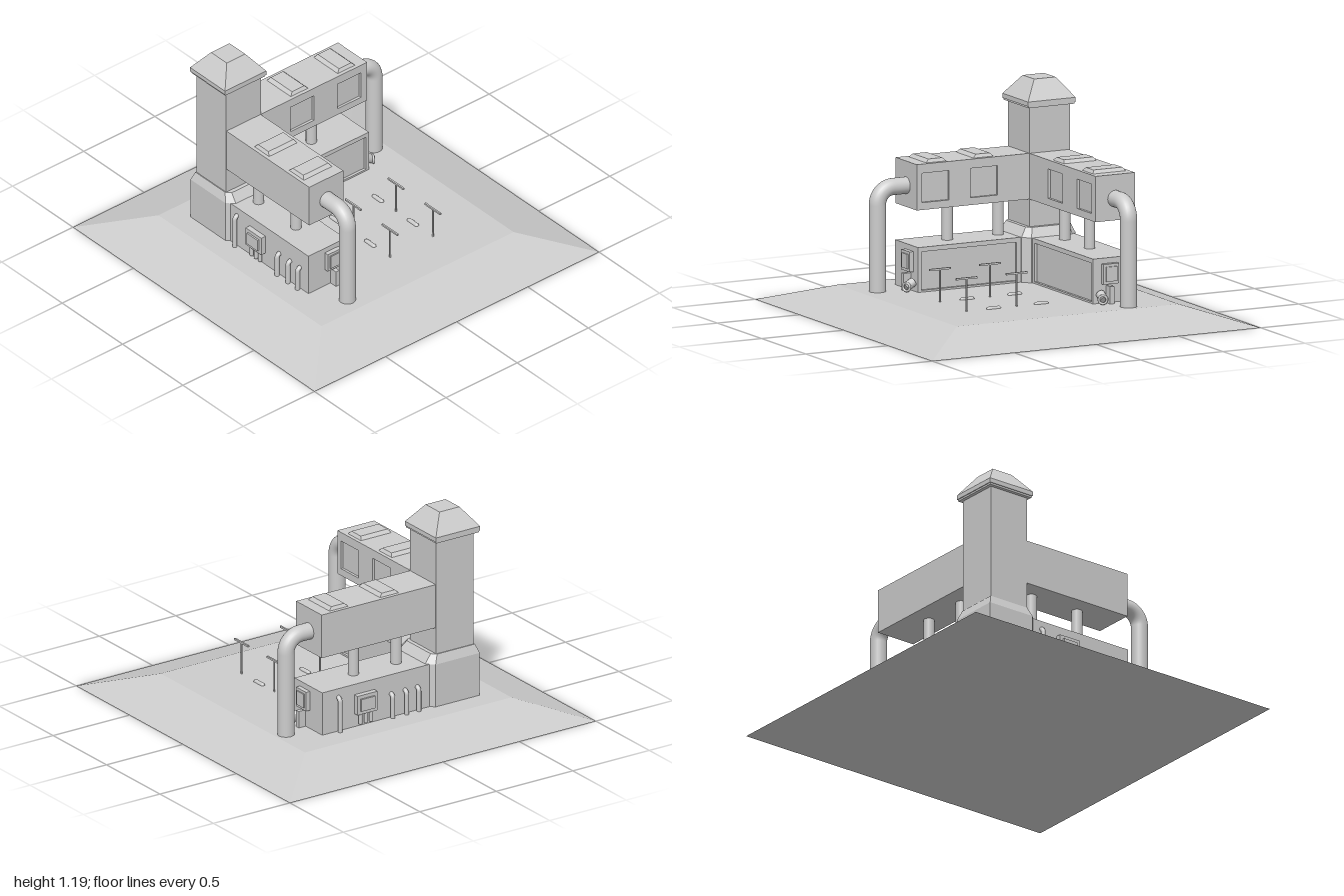
import * as THREE from 'three';

const grey = new THREE.MeshStandardMaterial({ color: 0xcccccc });
grey.name = 'grey';

function add(parent, name, geometry) {
  const mesh = new THREE.Mesh(geometry, grey);
  mesh.name = name;
  parent.add(mesh);
  return mesh;
}

// Box between two corners, its top optionally drawn in on all sides
function block(parent, name, x0, x1, y0, y1, z0, z1, insetX = 0, insetZ = insetX) {
  const g = new THREE.BoxGeometry(Math.abs(x1 - x0), y1 - y0, Math.abs(z1 - z0));
  const p = g.attributes.position;
  for (let i = 0; i < p.count; i++) {
    if (p.getY(i) > 0) {
      p.setX(i, p.getX(i) - Math.sign(p.getX(i)) * insetX);
      p.setZ(i, p.getZ(i) - Math.sign(p.getZ(i)) * insetZ);
    }
  }
  g.computeVertexNormals();
  g.translate((x0 + x1) / 2, (y0 + y1) / 2, (z0 + z1) / 2);
  return add(parent, name, g);
}

// Pipe through corner points with one rounded bend
function bentPipe(parent, name, start, corner, end, bend, radius, sides = 20) {
  const [a, c, e] = [start, corner, end].map((v) => new THREE.Vector3(...v));
  const b0 = c.clone().add(a.clone().sub(c).setLength(bend));
  const b1 = c.clone().add(e.clone().sub(c).setLength(bend));
  const k = 0.5523;
  const path = new THREE.CurvePath();
  path.add(new THREE.LineCurve3(a, b0));
  path.add(new THREE.CubicBezierCurve3(b0, b0.clone().lerp(c, k), b1.clone().lerp(c, k), b1));
  path.add(new THREE.LineCurve3(b1, e));
  return add(parent, name, new THREE.TubeGeometry(path, 48, radius, sides));
}

function rod(parent, name, x, y0, y1, z, radius, sides = 16) {
  const g = new THREE.CylinderGeometry(radius, radius, y1 - y0, sides);
  return add(parent, name, g.translate(x, (y0 + y1) / 2, z));
}

// Upright plate with rectangular openings [x0, x1, y0, y1]
function plate(parent, name, outer, holes, z, depth) {
  const trace = (s, [x0, x1, y0, y1]) =>
    s.moveTo(x0, y0).lineTo(x1, y0).lineTo(x1, y1).lineTo(x0, y1).closePath();
  const shape = trace(new THREE.Shape(), outer);
  holes.forEach((h) => shape.holes.push(trace(new THREE.Path(), h)));
  const g = new THREE.ExtrudeGeometry(shape, { depth, bevelEnabled: false });
  return add(parent, name, g.translate(0, 0, z));
}

// One wing along +x; s is the side of z that faces the yard
function wing(name, o) {
  const { s, end } = o;
  const g = new THREE.Group();
  g.name = name;

  // Lower wall with a sunken panel
  block(g, 'lowerWall', -0.26, end, 0.1, 0.35, -0.125 * s, 0.12 * s);
  plate(g, 'lowerWallFrame', [-0.24, end, 0.1, 0.35], [[-0.2, end - 0.02, 0.115, 0.325]],
    s > 0 ? 0.12 : -0.135, 0.015);

  // Raised hall with sunken windows
  block(g, 'upperHall', -0.29, end, 0.55, 0.8, -0.12 * s, 0.105 * s);
  plate(g, 'windowWall', [-0.29, end, 0.55, 0.8],
    o.windows.map((x) => [x - 0.082, x + 0.082, 0.59, 0.75]), s > 0 ? 0.105 : -0.12, 0.015);
  o.vents.forEach((x) =>
    block(g, 'roofVent', x - 0.063, x + 0.063, 0.798, 0.818, -0.1, 0.1, 0.02, 0.012));
  o.posts.forEach((x) => rod(g, 'supportPost', x, 0.34, 0.56, 0, 0.03));

  // Large pipe leaving the end of the hall
  bentPipe(g, 'downPipe', [end - 0.01, 0.668, 0], [end + o.reach, 0.668, 0],
    [end + o.reach, 0.1, 0], 0.09, 0.046, 24);

  // Small pipes and a service box on the outer face
  o.pipes.forEach(([x, top]) =>
    bentPipe(g, 'wallPipe', [x, 0.1, -0.142 * s], [x, top, -0.142 * s],
      [x, top, -0.11 * s], 0.02, 0.013, 10));
  block(g, 'serviceBox', o.box - 0.065, o.box + 0.065, 0.18, 0.29, -0.12 * s, -0.155 * s);
  block(g, 'serviceBoxLid', o.box - 0.045, o.box + 0.045, 0.2, 0.27, -0.15 * s, -0.165 * s);
  [-0.035, 0, 0.035].forEach((d) =>
    rod(g, 'serviceBoxPipe', o.box + d, 0.12, 0.19, -0.138 * s, 0.011, 10));

  // Cabinet and valve on the end face
  block(g, 'endCabinet', end - 0.01, end + 0.025, 0.21, 0.32, -0.01 * s, 0.085 * s);
  block(g, 'endCabinetDoor', end + 0.02, end + 0.032, 0.225, 0.305, 0.005 * s, 0.07 * s);
  block(g, 'valveFoot', end - 0.01, end + 0.045, 0.1, 0.2, 0.03 * s, 0.055 * s);
  const valve = add(g, 'valve', new THREE.CylinderGeometry(0.025, 0.025, 0.055, 12));
  valve.rotation.z = Math.PI / 3;
  valve.position.set(end + 0.03, 0.145, 0.095 * s);
  const wheel = add(g, 'valveWheel', new THREE.TorusGeometry(0.022, 0.007, 8, 16));
  wheel.rotation.y = Math.PI / 3 * s;
  wheel.position.set(end + 0.055, 0.135, 0.105 * s);
  return g;
}

// Ring of points (chamfered square) at height y
function chamferRing(lo, hi, c, y) {
  return [[lo, lo], [lo, hi - c], [lo + c, hi], [hi - c, hi], [hi, hi - c], [hi, lo + c], [hi - c, lo]]
    .map(([x, z]) => [x, y, z]);
}

// Loft stacked rings with flat faces and a closed top
function loft(rings) {
  const v = [];
  const n = rings[0].length;
  for (let r = 0; r + 1 < rings.length; r++) {
    for (let i = 0; i < n; i++) {
      const j = (i + 1) % n;
      const [a, b, c, d] = [rings[r][i], rings[r][j], rings[r + 1][j], rings[r + 1][i]];
      v.push(...a, ...b, ...c, ...a, ...c, ...d);
    }
  }
  const top = rings[rings.length - 1];
  for (let i = 1; i + 1 < n; i++) v.push(...top[0], ...top[i], ...top[i + 1]);
  const g = new THREE.BufferGeometry();
  g.setAttribute('position', new THREE.Float32BufferAttribute(v, 3));
  g.computeVertexNormals();
  return g;
}

export function createModel() {
  const model = new THREE.Group();
  model.name = 'factory';

  // Sloped ground
  block(model, 'ground', -1, 1, 0, 0.105, -1, 1, 0.325);

  // Corner tower
  const tower = new THREE.Group();
  tower.name = 'tower';
  model.add(tower);
  add(tower, 'towerPlinth', loft([
    chamferRing(-0.553, -0.225, 0.04, 0.1),
    chamferRing(-0.553, -0.225, 0.04, 0.35),
    chamferRing(-0.535, -0.262, 0.025, 0.4),
  ]));
  block(tower, 'towerShaft', -0.53, -0.285, 0.38, 1.06, -0.53, -0.285);
  block(tower, 'capUnderside', -0.55, -0.27, 1.05, 1.065, -0.55, -0.27);
  block(tower, 'capRim', -0.555, -0.265, 1.06, 1.085, -0.555, -0.265);
  block(tower, 'capRoof', -0.555, -0.265, 1.085, 1.19, -0.555, -0.265, 0.08);

  // Two wings at right angles
  const back = wing('backWing', {
    s: 1, end: 0.46, reach: 0.15, windows: [0.005, 0.335], vents: [0.003, 0.333],
    posts: [-0.11, 0.17], box: 0.185,
    pipes: [[-0.16, 0.24], [-0.08, 0.24], [0.01, 0.24], [0.355, 0.3]],
  });
  back.position.z = -0.405;
  const side = wing('sideWing', {
    s: -1, end: 0.4, reach: 0.175, windows: [-0.01, 0.285], vents: [-0.018, 0.27],
    posts: [-0.16, 0.15], box: -0.02,
    pipes: [[-0.19, 0.3], [0.16, 0.24], [0.25, 0.24], [0.33, 0.24]],
  });
  side.rotation.y = -Math.PI / 2;
  side.position.x = -0.408;
  model.add(back, side);

  // Yard lamps and low kerbs
  for (const x of [0.02, 0.32]) {
    for (const z of [0.12, 0.425]) {
      rod(model, 'lampPost', x, 0.1, 0.285, z, 0.005, 8);
      block(model, 'lampHead', x - 0.005, x + 0.005, 0.28, 0.29, z - 0.065, z + 0.065);
    }
    for (const z of [-0.03, 0.26]) {
      const kerb = add(model, 'kerb', new THREE.CapsuleGeometry(0.013, 0.06, 6, 12));
      kerb.rotation.x = Math.PI / 2;
      kerb.position.set(x, 0.105, z);
    }
  }
  return model;
}
